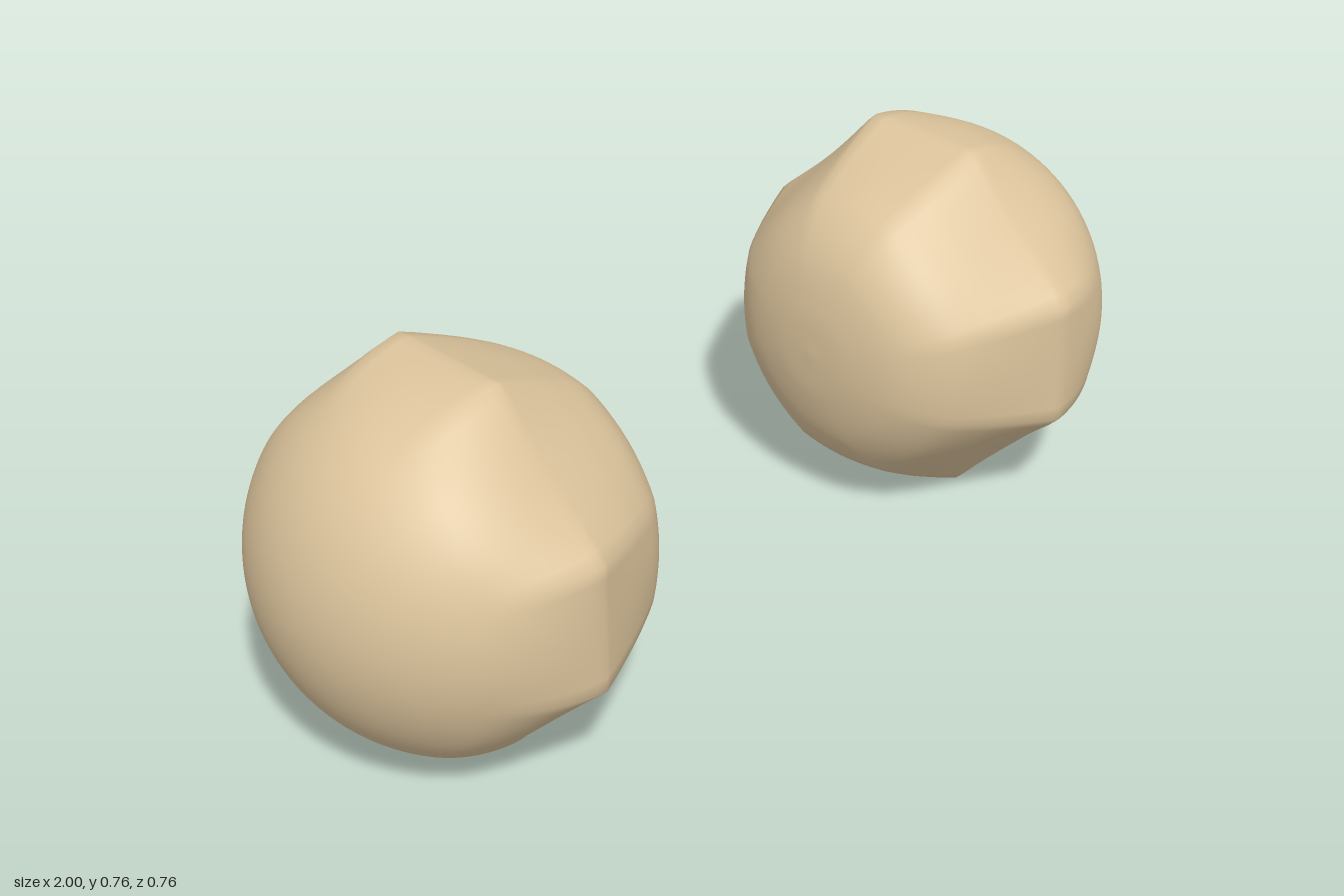
import * as THREE from 'three';
import { mergeVertices } from 'three/addons/utils/BufferGeometryUtils.js';

const RIM = 0.38, OUTER = 0.375, RIM_X = 0.625;
const CORNER = Math.atan2(0.13, RIM);

// radius of the eight-cornered rim at an angle, relative to its flat sides
function rimShape(angle) {
  const quarter = Math.PI / 2;
  let a = ((angle % quarter) + quarter) % quarter;
  if (a > quarter / 2) a = quarter - a;
  if (a <= CORNER) return 0.995 / Math.cos(a);
  // slightly hollow slope between the corners
  const slope = 0.36 / Math.cos(Math.PI / 4 - a) / RIM;
  const k = (a - CORNER) / (Math.PI / 4 - CORNER);
  return slope - 0.024 * Math.sin(k * Math.PI / 2);
}

// how strongly the rim shape shows at a distance from the rim
function rimStrength(t) {
  return t < 0 ? Math.max(0, 1 + t / 0.2) : Math.max(0, 1 - t / 0.33);
}

function blobGeometry() {
  // inner cap: sloped shoulder and rounded, flatter end
  const inner = new THREE.CatmullRomCurve3([
    [0.38, 0], [0.366, 0.04], [0.32, 0.15], [0.273, 0.23],
    [0.2, 0.287], [0.1, 0.317], [0, 0.325],
  ].map(([r, t]) => new THREE.Vector3(r, t, 0)));
  const profile = [];
  // outer cap: round dome
  for (let i = 0; i < 32; i++) {
    const a = (i / 32) * Math.PI / 2;
    profile.push(new THREE.Vector2(RIM * Math.sin(a), -OUTER * Math.cos(a)));
  }
  for (const p of inner.getSpacedPoints(40)) {
    profile.push(new THREE.Vector2(Math.max(0, p.x), p.y));
  }

  let geometry = new THREE.LatheGeometry(profile, 96);
  const pos = geometry.attributes.position;
  for (let i = 0; i < pos.count; i++) {
    const x = pos.getX(i), y = pos.getY(i), z = pos.getZ(i);
    const s = 1 + (rimShape(Math.atan2(z, x)) - 1) * rimStrength(y);
    pos.setXYZ(i, x * s, y, z * s);
  }
  // weld the seam so that the shading stays smooth
  geometry.deleteAttribute('uv');
  geometry.deleteAttribute('normal');
  geometry = mergeVertices(geometry, 1e-5);
  geometry.rotateZ(Math.PI / 2); // inner cap now faces -x
  geometry.computeVertexNormals();
  return geometry;
}

export function createModel() {
  const model = new THREE.Group();
  model.name = 'blobPair';
  const material = new THREE.MeshStandardMaterial({ color: 0xdcc49c });
  const geometry = blobGeometry();

  // two matching blobs, inner caps facing each other
  for (const side of [1, -1]) {
    const blob = new THREE.Mesh(geometry, material);
    blob.name = side > 0 ? 'leftBlob' : 'rightBlob';
    blob.position.set(side * RIM_X, RIM, 0);
    if (side < 0) blob.rotation.y = Math.PI;
    model.add(blob);
  }
  return model;
}
